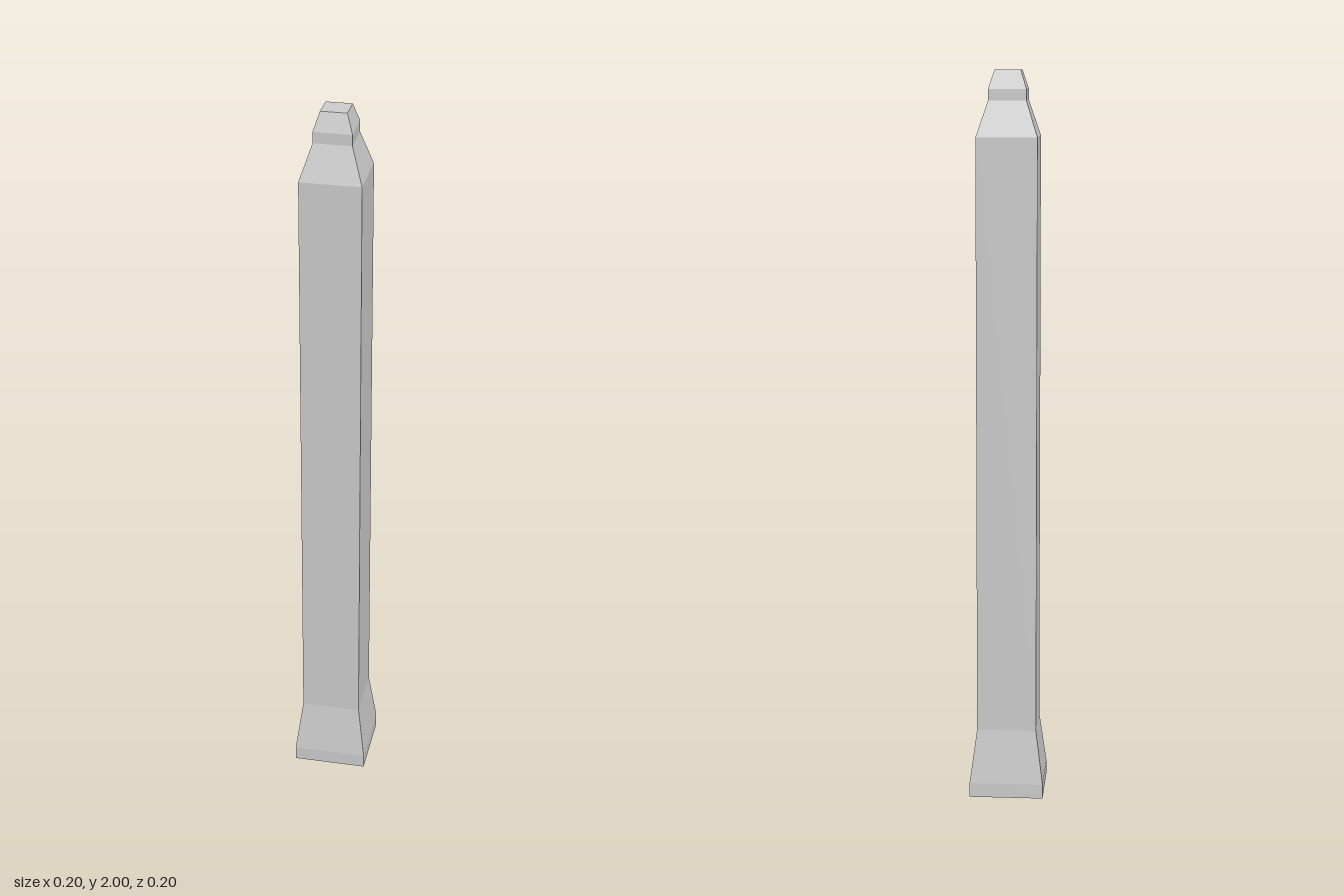
import * as THREE from 'three';

const material = new THREE.MeshStandardMaterial({ color: 0xcccccc, flatShading: true });

// Square post section from a profile of [half width, height], bottom to top
function squareSection(name, profile) {
  const points = profile.map(([half, y]) => new THREE.Vector2(half * Math.SQRT2, y));
  const geometry = new THREE.LatheGeometry(points, 4, Math.PI / 4);
  const mesh = new THREE.Mesh(geometry, material);
  mesh.name = name;
  return mesh;
}

export function createModel() {
  const post = new THREE.Group();
  post.name = 'post';

  post.add(
    // Flared foot with a closed underside
    squareSection('foot', [[0, 0], [0.102, 0], [0.102, 0.04], [0.082, 0.19]]),
    // Long straight shaft
    squareSection('shaft', [[0.082, 0.19], [0.082, 1.825]]),
    // Tapered shoulder, short neck and bevelled, flat-topped tip
    squareSection('shoulder', [[0.082, 1.825], [0.051, 1.92]]),
    squareSection('neck', [[0.051, 1.92], [0.051, 1.95]]),
    squareSection('tip', [[0.051, 1.95], [0.035, 2], [0, 2]])
  );
  return post;
}
